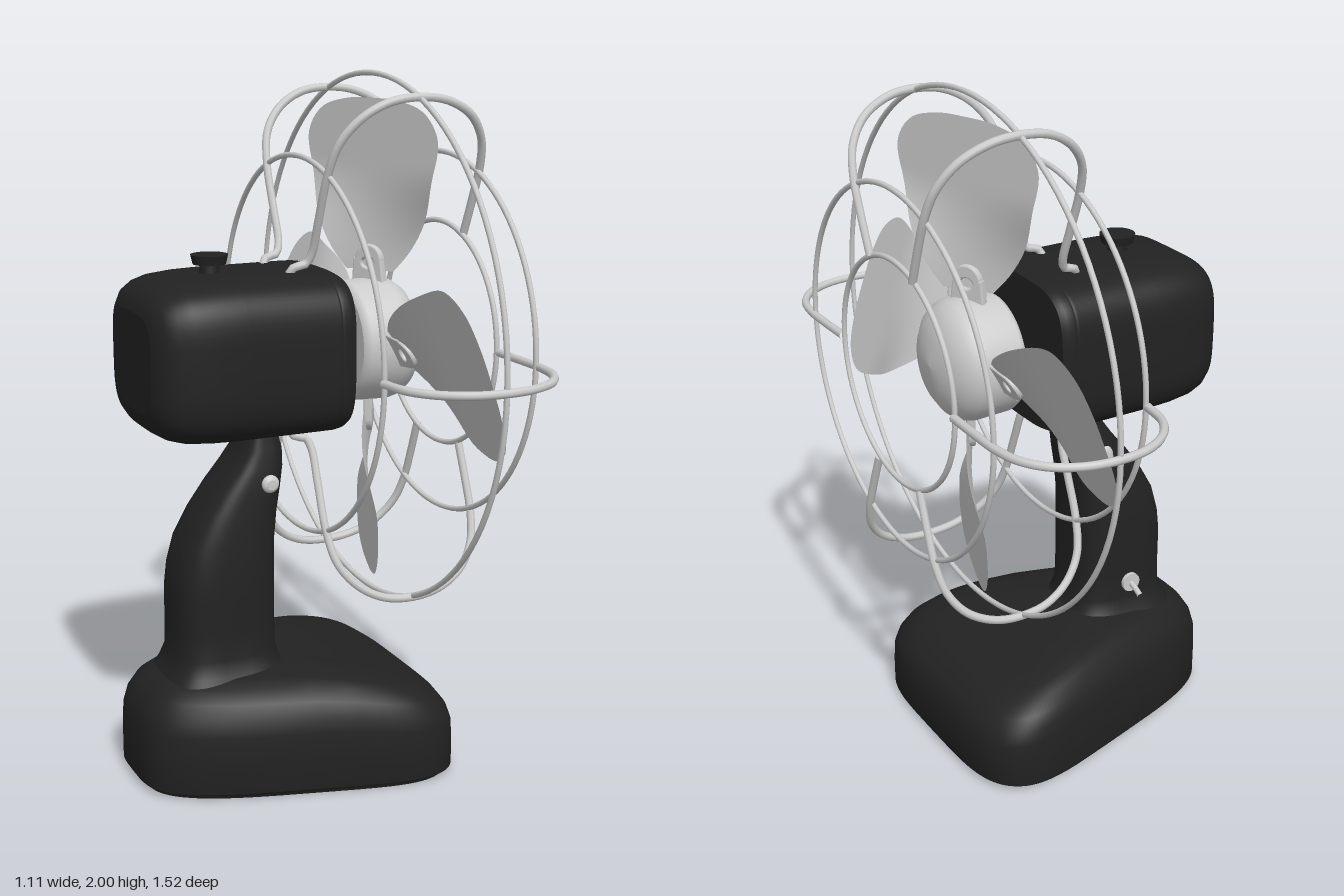
import * as THREE from 'three';

const black = new THREE.MeshStandardMaterial({ color: 0x222222 });
const metal = new THREE.MeshStandardMaterial({ color: 0xcccccc });
const sheet = new THREE.MeshStandardMaterial({ color: 0xcccccc, side: THREE.DoubleSide });
const AXIS_Y = 1.237;

function add(parent, name, geometry, material, x = 0, y = 0, z = 0) {
  const mesh = new THREE.Mesh(geometry, material);
  mesh.name = name;
  mesh.position.set(x, y, z);
  parent.add(mesh);
  return mesh;
}

// Unit superellipse point: n = 2 is a circle, larger n is squarer
function squircle(k, count, n) {
  const a = (k / count) * Math.PI * 2, c = Math.cos(a), s = Math.sin(a);
  const f = (v) => Math.sign(v) * Math.abs(v) ** (2 / n);
  return [f(c), f(s)];
}

// Closed skin over sections stacked along y; point(row, c, s) returns [x, y, z]
function loft(rows, n, point, count = 64) {
  const pos = [], index = [];
  rows.forEach((row) => {
    for (let k = 0; k < count; k++) pos.push(...point(row, ...squircle(k, count, n)));
  });
  for (let r = 0; r < rows.length - 1; r++) {
    for (let k = 0; k < count; k++) {
      const a = r * count + k, c = r * count + (k + 1) % count;
      index.push(a, a + count, c, a + count, c + count, c);
    }
  }
  // flat end caps with their own vertices
  [0, rows.length - 1].forEach((r) => {
    const start = pos.length / 3;
    for (let k = 0; k < count; k++) pos.push(...point(rows[r], ...squircle(k, count, n)));
    pos.push(...point(rows[r], 0, 0));
    for (let k = 0; k < count; k++) {
      const a = start + k, b = start + (k + 1) % count;
      index.push(start + count, ...(r === 0 ? [a, b] : [b, a]));
    }
  });
  const g = new THREE.BufferGeometry();
  g.setAttribute('position', new THREE.Float32BufferAttribute(pos, 3));
  g.setIndex(index);
  g.computeVertexNormals();
  return g;
}

// Turned part around the x axis from [radius, x] pairs
function turned(profile) {
  return new THREE.LatheGeometry(profile.map((p) => new THREE.Vector2(...p)), 48).rotateZ(-Math.PI / 2);
}

function wire(points, radius) {
  const curve = new THREE.CatmullRomCurve3(points, false, 'centripetal');
  return new THREE.TubeGeometry(curve, 72, radius, 8);
}

function bladeGeometry() {
  const outline = new THREE.SplineCurve([[0.06, 0.2], [0.11, 0.27], [0.175, 0.38], [0.225, 0.51],
    [0.23, 0.59], [0.18, 0.655], [0.09, 0.682], [0.001, 0.686]].map((p) => new THREE.Vector2(...p)));
  const g = new THREE.PlaneGeometry(2, 1, 10, 32);
  const pos = g.attributes.position;
  for (let i = 0; i < pos.count; i++) {
    const p = outline.getPoint(pos.getY(i) + 0.5);
    const z = pos.getX(i) * p.x;
    const pitch = THREE.MathUtils.lerp(0.75, 0.36, THREE.MathUtils.smoothstep(p.y, 0.2, 0.5));
    pos.setXYZ(i, z * pitch, p.y, z);
  }
  g.computeVertexNormals();
  return g;
}

function bracketGeometry() {
  const s = new THREE.Shape();
  s.moveTo(-0.05, 0.16);
  s.lineTo(0.05, 0.16);
  s.lineTo(0.045, 0.23);
  s.absarc(0, 0.23, 0.04, 0, Math.PI, false);
  s.lineTo(-0.05, 0.16);
  const hole = new THREE.Path();
  hole.absellipse(0, 0.222, 0.026, 0.02, 0, Math.PI * 2, true);
  s.holes.push(hole);
  const g = new THREE.ExtrudeGeometry(s, { depth: 0.016, bevelEnabled: true, bevelSize: 0.005,
    bevelThickness: 0.005, bevelSegments: 2, curveSegments: 16 });
  return g.translate(0, 0, -0.008).rotateY(Math.PI / 2 + 0.5);
}

function makeStand(fan) {
  // tapered base: [inset, height]
  const baseRows = [[0.02, 0], [0.015, 0.015], [0, 0.02], [0, 0.12], [0.003, 0.19], [0.015, 0.235],
    [0.04, 0.275], [0.08, 0.305], [0.13, 0.32], [0.2, 0.328], [0.3, 0.332]];
  add(fan, 'base', loft(baseRows, 4, ([inset, h], c, s) => {
    const x = -0.1 + (0.455 - inset) * c;
    const drop = 1 - 0.24 * THREE.MathUtils.smoothstep(x, -0.15, 0.42);
    return [x, h * drop, (0.332 + 0.122 * c - inset * 0.8) * s];
  }, 96), black);

  // leaning column: [y, back, front, half width]
  const columnRows = [[0.28, -0.48, -0.07, 0.18], [0.325, -0.45, -0.11, 0.148], [0.37, -0.432, -0.128, 0.132],
    [0.45, -0.43, -0.13, 0.13], [0.55, -0.43, -0.13, 0.13], [0.62, -0.422, -0.13, 0.128],
    [0.7, -0.4, -0.128, 0.123], [0.78, -0.355, -0.12, 0.116], [0.85, -0.305, -0.108, 0.108],
    [0.91, -0.255, -0.1, 0.1], [0.96, -0.22, -0.1, 0.088], [1.03, -0.2, -0.12, 0.075]];
  add(fan, 'column', loft(columnRows, 3.2, ([y, back, front, w], c, s) =>
    [(back + front) / 2 + (front - back) / 2 * c, y, w * s]), black);

  // tilt hinge: bolt through the column, round head one side, wing the other
  add(fan, 'hingeBolt', new THREE.CylinderGeometry(0.014, 0.014, 0.28, 16).rotateX(Math.PI / 2), metal, -0.17, 0.875, 0);
  add(fan, 'hingeHead', new THREE.SphereGeometry(0.026, 20, 12).scale(1, 1, 0.6), metal, -0.17, 0.875, 0.125);
  add(fan, 'hingeNut', new THREE.CylinderGeometry(0.02, 0.027, 0.04, 20).rotateX(-Math.PI / 2), metal, -0.17, 0.875, -0.125);
  add(fan, 'hingeWing', new THREE.SphereGeometry(0.03, 20, 12).scale(0.8, 1.3, 0.4), metal, -0.17, 0.885, -0.15);

  // switch low on the column
  add(fan, 'switchPlate', new THREE.CylinderGeometry(0.03, 0.03, 0.016, 24).rotateX(Math.PI / 2), metal, -0.28, 0.42, -0.134);
  add(fan, 'switchLever', wire([new THREE.Vector3(-0.28, 0.42, -0.13), new THREE.Vector3(-0.28, 0.412, -0.16),
    new THREE.Vector3(-0.28, 0.398, -0.19)], 0.009), metal);
}

function makeHead(head) {
  // motor housing: [x, scale]
  const motorRows = [[-0.525, 0.6], [-0.518, 0.72], [-0.5, 0.83], [-0.47, 0.91], [-0.43, 0.96], [-0.36, 0.99],
    [-0.28, 1], [-0.012, 1], [-0.007, 0.985], [-0.002, 0.985], [0.003, 1], [0.025, 0.985], [0.04, 0.95]];
  add(head, 'motorHousing', loft(motorRows, 3.8, ([x, k], c, s) =>
    [0.228 * k * c, x, 0.25 * k * s]).rotateZ(-Math.PI / 2), black);
  add(head, 'topKnobStem', new THREE.CylinderGeometry(0.025, 0.03, 0.05, 24), black, -0.295, 0.24, 0);
  add(head, 'topKnob', new THREE.CylinderGeometry(0.052, 0.046, 0.026, 32), black, -0.295, 0.264, 0);

  // shaft, hub and four pitched blades
  add(head, 'shaft', turned([[0.03, 0.03], [0.03, 0.13]]), metal);
  add(head, 'hub', turned([[0, 0.105], [0.155, 0.105], [0.155, 0.105], [0.168, 0.112], [0.174, 0.125], [0.178, 0.23],
    [0.172, 0.255], [0.155, 0.28], [0.12, 0.305], [0.07, 0.322], [0, 0.33]]), metal);
  const blade = bladeGeometry(), bracket = bracketGeometry();
  for (let i = 0; i < 4; i++) {
    const group = new THREE.Group();
    group.name = 'blade' + (i + 1);
    group.position.x = 0.2;
    group.rotation.x = i * Math.PI / 2;
    add(group, 'bladeSheet', blade, sheet);
    add(group, 'bladeBracket', bracket, metal);
    head.add(group);
  }
}

function makeGuard(head) {
  // hoops: [name, radius, x]
  [['outerRing', 0.755, 0.2], ['frontRing', 0.53, 0.43], ['innerFrontRing', 0.33, 0.43], ['rearRing', 0.535, -0.03]]
    .forEach(([name, r, x]) => add(head, name, new THREE.TorusGeometry(r, 0.008, 8, 96).rotateY(Math.PI / 2), metal, x));

  // ribs curl from the front rings around to the back; upright ones hook into the motor
  const profile = [[0.33, 0.435], [0.45, 0.437], [0.55, 0.435], [0.63, 0.418], [0.7, 0.37], [0.745, 0.29],
    [0.758, 0.2], [0.745, 0.11], [0.7, 0.035], [0.63, -0.015], [0.535, -0.033]];
  const hook = [[0.4, -0.035], [0.3, -0.037], [0.268, -0.05], [0.258, -0.085], [0.225, -0.1]];
  const lean = THREE.MathUtils.degToRad(22);
  [lean, -lean, Math.PI - lean, Math.PI + lean, Math.PI / 2, -Math.PI / 2].forEach((angle, i) => {
    const path = i < 4 ? [...profile, ...hook] : profile;
    const points = path.map(([r, x]) => new THREE.Vector3(x, r * Math.cos(angle), r * Math.sin(angle)));
    add(head, 'guardRib' + (i + 1), wire(points, 0.012), metal);
  });
}

export function createModel() {
  const model = new THREE.Group();
  model.name = 'deskFan';
  // the whole fan is turned slightly on its base
  const fan = new THREE.Group();
  fan.name = 'fan';
  fan.rotation.y = 0.2;
  fan.position.z = 0.04;
  model.add(fan);
  makeStand(fan);
  const head = new THREE.Group();
  head.name = 'head';
  head.position.y = AXIS_Y;
  fan.add(head);
  makeHead(head);
  makeGuard(head);
  return model;
}
